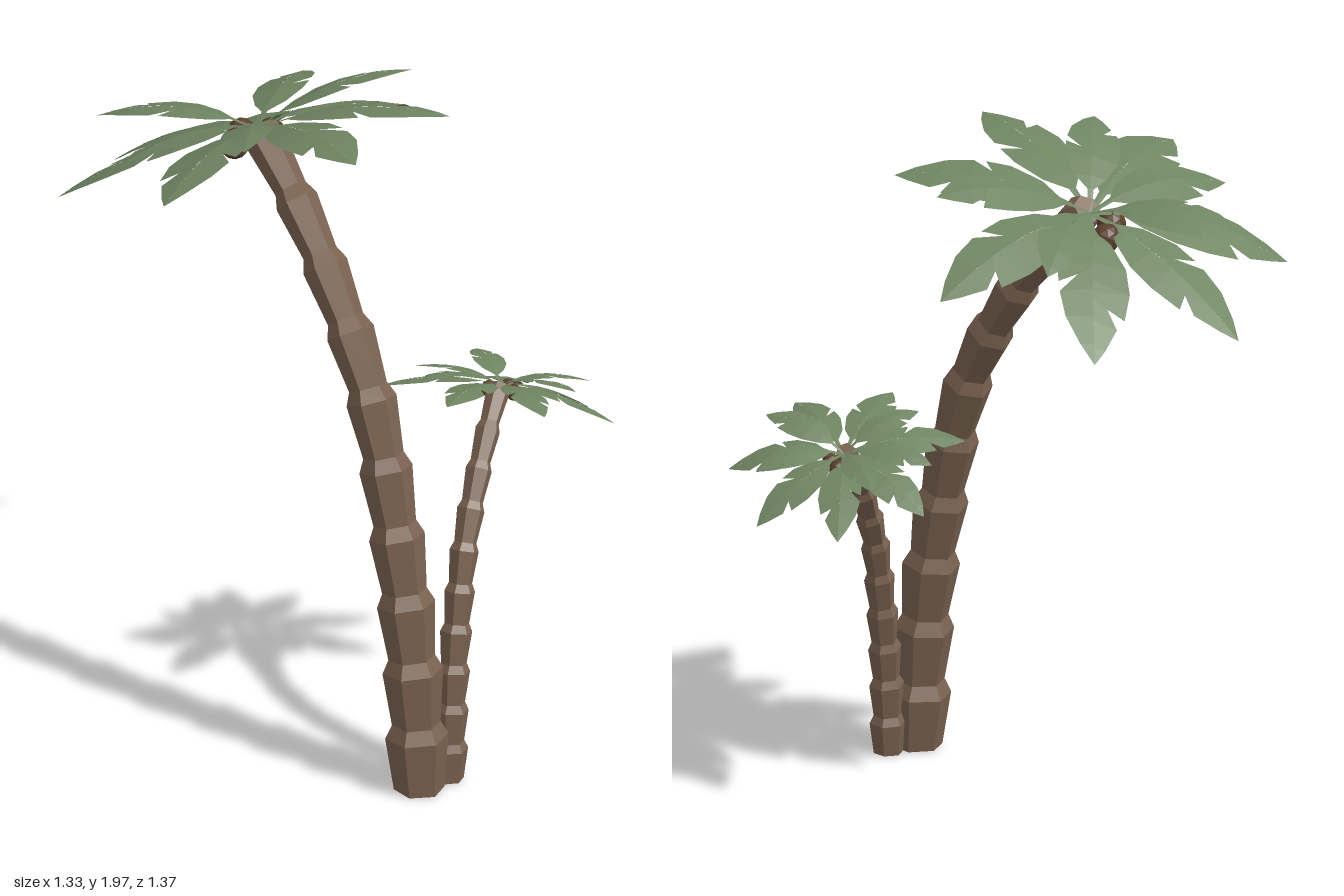
import * as THREE from 'three';

const mat = (color, side = THREE.FrontSide) =>
  new THREE.MeshStandardMaterial({ color, side, flatShading: true });
const bark = mat(0x7a6250);
const leaf = mat(0x6f8562, THREE.DoubleSide);
const husk = mat(0x5a3f2c);

const CROWN = new THREE.Vector3(0, 1.82, -0.765);
const CROWN_UP = new THREE.Vector3(0, 0.93, -0.36).normalize();

// frond tips relative to the crown
const TIPS = [
  [-0.12, -0.28, -0.52], [0.33, -0.28, -0.41], [0.59, -0.13, -0.03],
  [0.38, 0.09, 0.42], [-0.08, 0.14, 0.57], [-0.545, 0.03, 0.27],
  [-0.5, -0.185, -0.29], [-0.29, 0.145, 0.32], [0.45, 0.11, 0.15],
  [-0.265, -0.04, -0.405], [-0.47, 0, -0.05], [0.38, -0.04, -0.26],
];

// half-blade outlines: [position on midrib, position of edge, half width], with one torn notch each
const EDGE_A = [
  [0, 0, 0.012], [0.16, 0.16, 0.02], [0.26, 0.26, 0.1], [0.42, 0.42, 0.17], [0.55, 0.58, 0.185],
  [0.62, 0.74, 0.155], [0.65, 0.7, 0.07], [0.78, 0.8, 0.115], [0.92, 0.92, 0.055], [1, 1, 0],
];
const EDGE_B = [
  [0, 0, 0.012], [0.16, 0.16, 0.02], [0.26, 0.26, 0.11], [0.4, 0.43, 0.17], [0.44, 0.56, 0.17],
  [0.46, 0.51, 0.07], [0.6, 0.62, 0.165], [0.76, 0.76, 0.14], [0.9, 0.9, 0.07], [1, 1, 0],
];

function meshGeometry(points, index) {
  const g = new THREE.BufferGeometry();
  g.setAttribute('position', new THREE.Float32BufferAttribute(points.flatMap(p => p.toArray()), 3));
  g.setIndex(index);
  g.computeVertexNormals();
  return g;
}

// arched blade from the crown to a tip
function frondGeometry(tip, flip) {
  const length = tip.length();
  const side = new THREE.Vector3().crossVectors(CROWN_UP, tip).normalize();
  const at = (s, w) => {
    const p = tip.clone().multiplyScalar(s).addScaledVector(side, w * length);
    p.y += 0.2 * s * (1 - s) - 0.12 * Math.abs(w) * length;
    return p;
  };
  const points = [], index = [];
  for (const [edge, sign] of [[EDGE_A, flip], [EDGE_B, -flip]]) {
    const start = points.length;
    for (const [m, s, w] of edge) points.push(at(m, 0), at(s, w * sign));
    for (let i = 0; i < edge.length - 1; i++) {
      const a = start + i * 2, b = a + 1, c = a + 2, d = a + 3;
      if (sign > 0) index.push(a, c, b, b, c, d);
      else index.push(a, b, c, b, d, c);
    }
  }
  return meshGeometry(points, index);
}

// six-sided trunk of stacked flaring segments along a leaning curve
function trunkGeometry() {
  const path = new THREE.CatmullRomCurve3([
    [0, 0], [0.37, -0.03], [0.77, -0.105], [1.185, -0.235],
    [1.49, -0.43], [1.64, -0.555], [1.83, -0.755],
  ].map(([y, z]) => new THREE.Vector3(0, y, z)));
  const SEG = 10, SIDES = 6, points = [], index = [];
  const ring = (t, r) => {
    const c = path.getPointAt(t), tan = path.getTangentAt(t);
    if (t === 0) tan.set(0, 1, 0);
    for (let k = 0; k < SIDES; k++) {
      const a = k / SIDES * Math.PI * 2, f = Math.cos(a) * r;
      points.push(new THREE.Vector3(c.x + Math.sin(a) * r, c.y - tan.z * f, c.z + tan.y * f));
    }
  };
  for (let i = 0; i < SEG; i++) {
    const wide = 0.092 - 0.032 * i / (SEG - 1);
    ring(i / SEG, wide * 0.8);
    ring((i + 0.8) / SEG, wide);
  }
  ring(1, 0.045);
  const rings = points.length / SIDES;
  for (let j = 0; j < rings - 1; j++)
    for (let k = 0; k < SIDES; k++) {
      const a = j * SIDES + k, b = j * SIDES + (k + 1) % SIDES;
      index.push(a, b, a + SIDES, b, b + SIDES, a + SIDES);
    }
  // end caps
  const top = (rings - 1) * SIDES;
  for (let k = 1; k < SIDES - 1; k++)
    index.push(0, k + 1, k, top, top + k, top + k + 1);
  return meshGeometry(points, index);
}

function palm(name) {
  const g = new THREE.Group();
  g.name = name;
  const add = (geometry, material, part, pos) => {
    const m = new THREE.Mesh(geometry, material);
    m.name = part;
    if (pos) m.position.copy(pos);
    g.add(m);
  };
  add(trunkGeometry(), bark, 'trunk');
  TIPS.forEach(([x, y, z]) =>
    add(frondGeometry(new THREE.Vector3(x, y, z), x < 0 ? -1 : 1), leaf, 'frond', CROWN));
  // coconuts tucked under the crown
  for (const [x, y, z] of [[-0.065, -0.04, -0.02], [0.065, -0.04, -0.02], [0.01, -0.05, -0.085]])
    add(new THREE.IcosahedronGeometry(0.043, 1), husk, 'coconut',
      CROWN.clone().add(new THREE.Vector3(x, y, z)));
  return g;
}

export function createModel() {
  const model = new THREE.Group();
  model.name = 'palmTrees';
  const tall = palm('tallPalm');
  tall.position.set(-0.12, 0, 0.595);
  const small = palm('smallPalm');
  small.position.set(-0.015, 0, 0.6);
  small.rotation.y = -THREE.MathUtils.degToRad(57);
  small.scale.setScalar(0.58);
  model.add(tall, small);
  return model;
}
